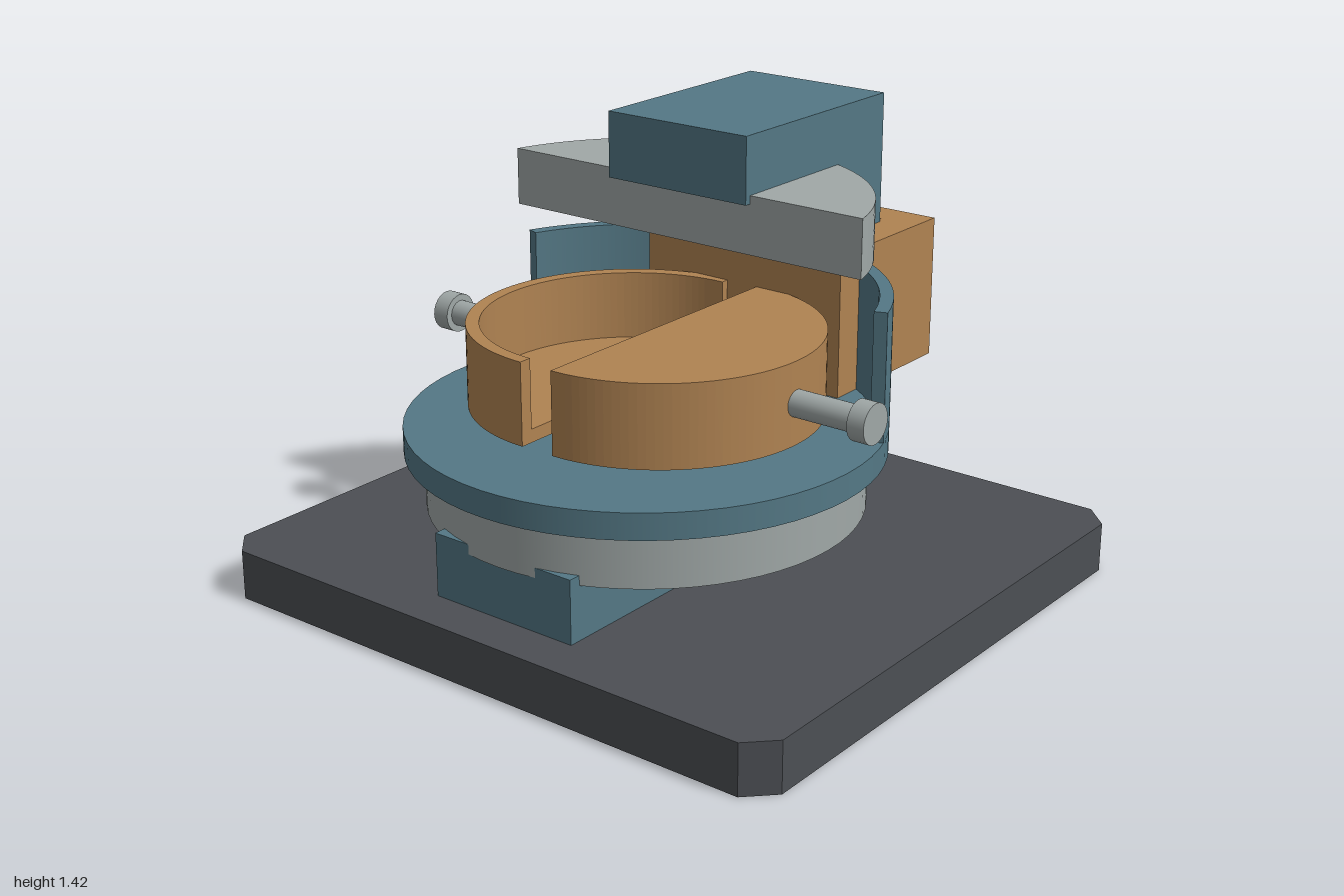
import * as THREE from 'three';

const mat = (name, color) => {
  const m = new THREE.MeshStandardMaterial({ color });
  m.name = name;
  return m;
};

export function createModel() {
  const root = new THREE.Group();
  root.name = 'magnetApparatus';
  const dark = mat('darkBase', 0x4c4f54);
  const teal = mat('tealSteel', 0x547885);
  const copper = mat('copper', 0xb08352);
  const grey = mat('lightMetal', 0xa0a8a7);

  const CZ = 0.14; // axis of all round parts
  const SEG = 32;

  const add = (name, geometry, material) => {
    const mesh = new THREE.Mesh(geometry, material);
    mesh.name = name;
    root.add(mesh);
    return mesh;
  };
  // Plan outline (x, -z) raised from y0 to y1
  const slab = (name, shape, y0, y1, material) => {
    const g = new THREE.ExtrudeGeometry(shape, { depth: y1 - y0, bevelEnabled: false, curveSegments: SEG });
    g.rotateX(-Math.PI / 2);
    g.translate(0, y0, 0);
    return add(name, g, material);
  };
  const polygon = (pts) => new THREE.Shape(pts.map(([x, y]) => new THREE.Vector2(x, y)));
  const cylinder = (name, r, y0, y1, x, z, material, seg = 64) => {
    const mesh = add(name, new THREE.CylinderGeometry(r, r, y1 - y0, seg), material);
    mesh.position.set(x, (y0 + y1) / 2, z);
    return mesh;
  };

  // Base plate with chamfered corners
  const W = 1, D = 0.92, C = 0.08;
  slab('basePlate', polygon([
    [-W + C, -D], [W - C, -D], [W, -D + C], [W, D - C],
    [W - C, D], [-W + C, D], [-W, D - C], [-W, -D + C],
  ]), 0, 0.155, dark);

  // C-shaped yoke: side profile (z, y) extruded across x
  const yoke = new THREE.ExtrudeGeometry(polygon([
    [0.778, 0.155], [0.778, 0.35], [-0.45, 0.35], [-0.45, 1.22],
    [0, 1.22], [0, 1.42], [-0.7, 1.42], [-0.7, 0.155],
  ]), { depth: 0.5, bevelEnabled: false });
  yoke.rotateY(-Math.PI / 2);
  yoke.translate(0.25, 0, 0);
  add('yoke', yoke, teal);

  // Lower pole and chamber floor
  cylinder('lowerPole', 0.65, 0.32, 0.49, 0, CZ, grey);
  cylinder('chamberFloor', 0.71, 0.49, 0.57, 0, CZ, teal);

  // Upper pole, cut away in front
  const cut = Math.asin(0.16 / 0.65);
  const pole = new THREE.Shape();
  pole.absarc(0, -CZ, 0.65, cut, Math.PI - cut, false);
  pole.closePath();
  slab('upperPole', pole, 1.07, 1.245, grey);

  // Chamber wall, one arc on each side of the coil
  const a0 = THREE.MathUtils.degToRad(20.3), a1 = THREE.MathUtils.degToRad(64);
  for (const [name, from, to] of [['leftWall', a0, a1], ['rightWall', Math.PI - a1, Math.PI - a0]]) {
    const wall = new THREE.Shape();
    wall.absarc(0, -CZ, 0.71, from, to, false);
    wall.absarc(0, -CZ, 0.67, to, from, true);
    wall.closePath();
    slab(name, wall, 0.57, 0.96, teal);
  }

  // Coil block around the yoke column
  const coil = polygon([[-0.36, 0.325], [0.36, 0.325], [0.36, 0.84], [-0.36, 0.84]]);
  coil.holes.push(new THREE.Path([[-0.235, 0.46], [-0.235, 0.73], [0.235, 0.73], [0.235, 0.46]]
    .map(([x, y]) => new THREE.Vector2(x, y))));
  slab('coil', coil, 0.57, 1.015, copper);

  // Half-round electrodes: the left one closed, the right one an open tray
  const half = (cx, r, start) => {
    const s = new THREE.Shape();
    s.absarc(cx, -CZ, r, start, start + Math.PI, false);
    s.closePath();
    return s;
  };
  const GX = 0.055, R = 0.48, T = 0.04;
  slab('leftElectrode', half(GX, R, -Math.PI / 2), 0.61, 0.86, copper);
  slab('rightElectrodeFloor', half(-GX, R - T, Math.PI / 2), 0.61, 0.65, copper);
  const rim = new THREE.Shape();
  rim.absarc(-GX, -CZ, R, Math.PI / 2, Math.PI * 1.5, false);
  rim.absarc(-GX, -CZ, R - T, Math.PI * 1.5, Math.PI / 2, true);
  rim.closePath();
  slab('rightElectrodeRim', rim, 0.61, 0.86, copper);

  for (const [side, s] of [['left', 1], ['right', -1]]) {
    // Supporting pegs
    for (const dz of [0.2, -0.2]) cylinder(side + 'Peg', 0.053, 0.57, 0.612, s * 0.27, CZ + dz, grey, 24);
    // Side terminals: rod and head
    for (const [part, r, x0, x1] of [['Rod', 0.04, 0.51, 0.745], ['Head', 0.06, 0.74, 0.795]]) {
      const g = new THREE.CylinderGeometry(r, r, x1 - x0, 24);
      g.rotateZ(Math.PI / 2);
      add(side + 'Terminal' + part, g, grey).position.set(s * (x0 + x1) / 2, 0.735, CZ);
    }
  }
  return root;
}
